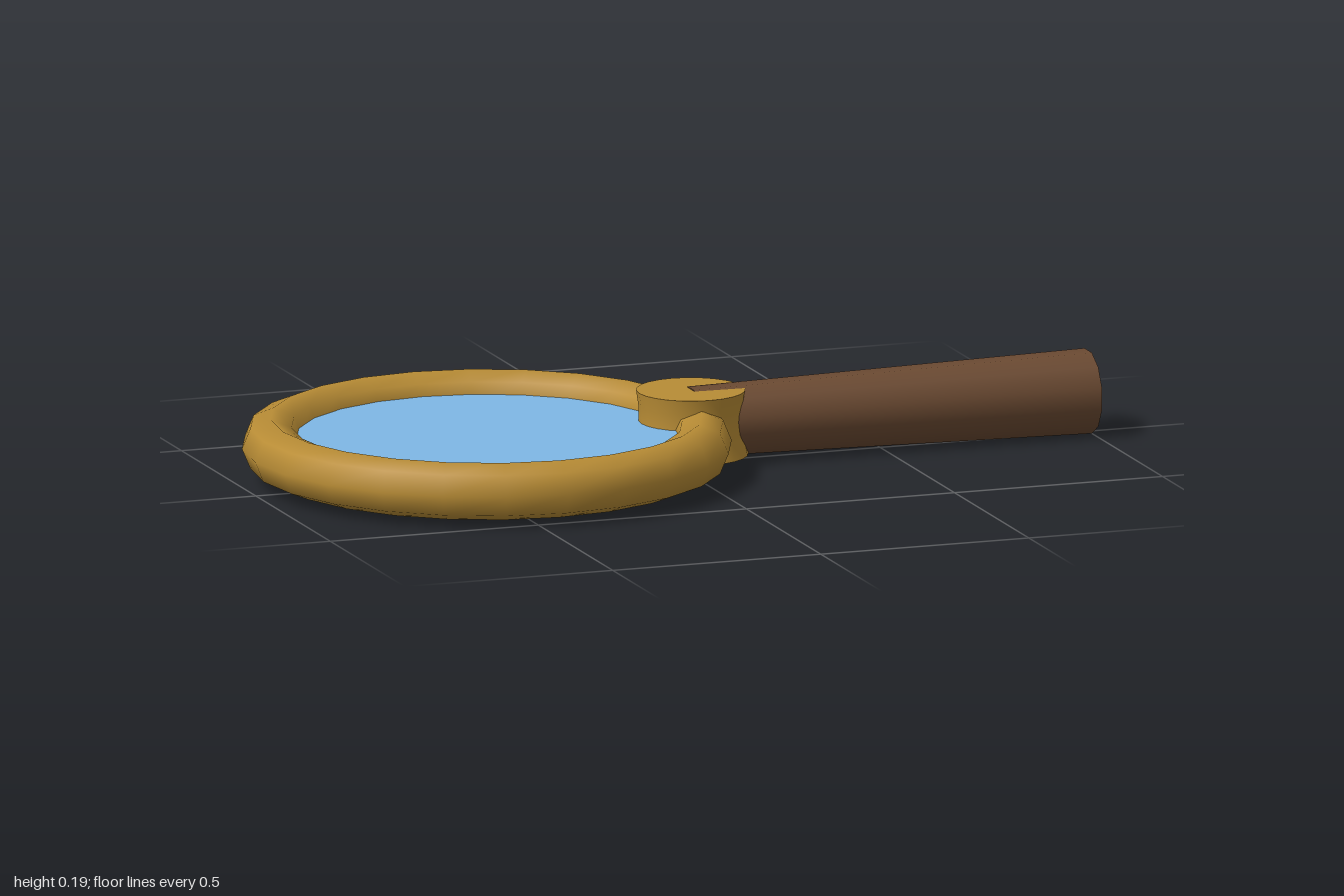
import * as THREE from 'three';
import { toCreasedNormals } from 'three/addons/utils/BufferGeometryUtils.js';

const material = (color) => new THREE.MeshStandardMaterial({ color });

export function createModel() {
  const group = new THREE.Group();
  const brass = material(0xb88c35);
  const wood = material(0x6b4a32);
  const glass = material(0x7fb8e6);

  const add = (name, geometry, mat, x, y) => {
    const mesh = new THREE.Mesh(geometry, mat);
    mesh.name = name;
    mesh.position.set(x, y, 0);
    group.add(mesh);
    return mesh;
  };

  // Ring lying flat around the lens
  const ring = new THREE.TorusGeometry(0.49, 0.066, 8, 24).rotateX(-Math.PI / 2);
  add('rim', ring, brass, -0.445, 0.078);

  // Thin glass disc, its edge sunk into the ring
  add('lens', new THREE.CylinderGeometry(0.45, 0.45, 0.01, 24), glass, -0.445, 0.093);

  // Joint with a slightly pinched waist and flat caps
  const profile = [
    [0, 0.02], [0.131, 0.02], [0.122, 0.06], [0.118, 0.1], [0.119, 0.135], [0.124, 0.169], [0, 0.169],
  ].map(([r, y]) => new THREE.Vector2(r, y));
  add('joint', toCreasedNormals(new THREE.LatheGeometry(profile, 24), 0.7), brass, 0.045, 0);

  // Twelve-sided handle, widening to its free end and breaking through the joint
  const handle = new THREE.CylinderGeometry(0.08, 0.097, 0.955, 12)
    .rotateY(Math.PI / 12)
    .rotateZ(Math.PI / 2);
  add('handle', handle, wood, 0.5225, 0.094);

  return group;
}
